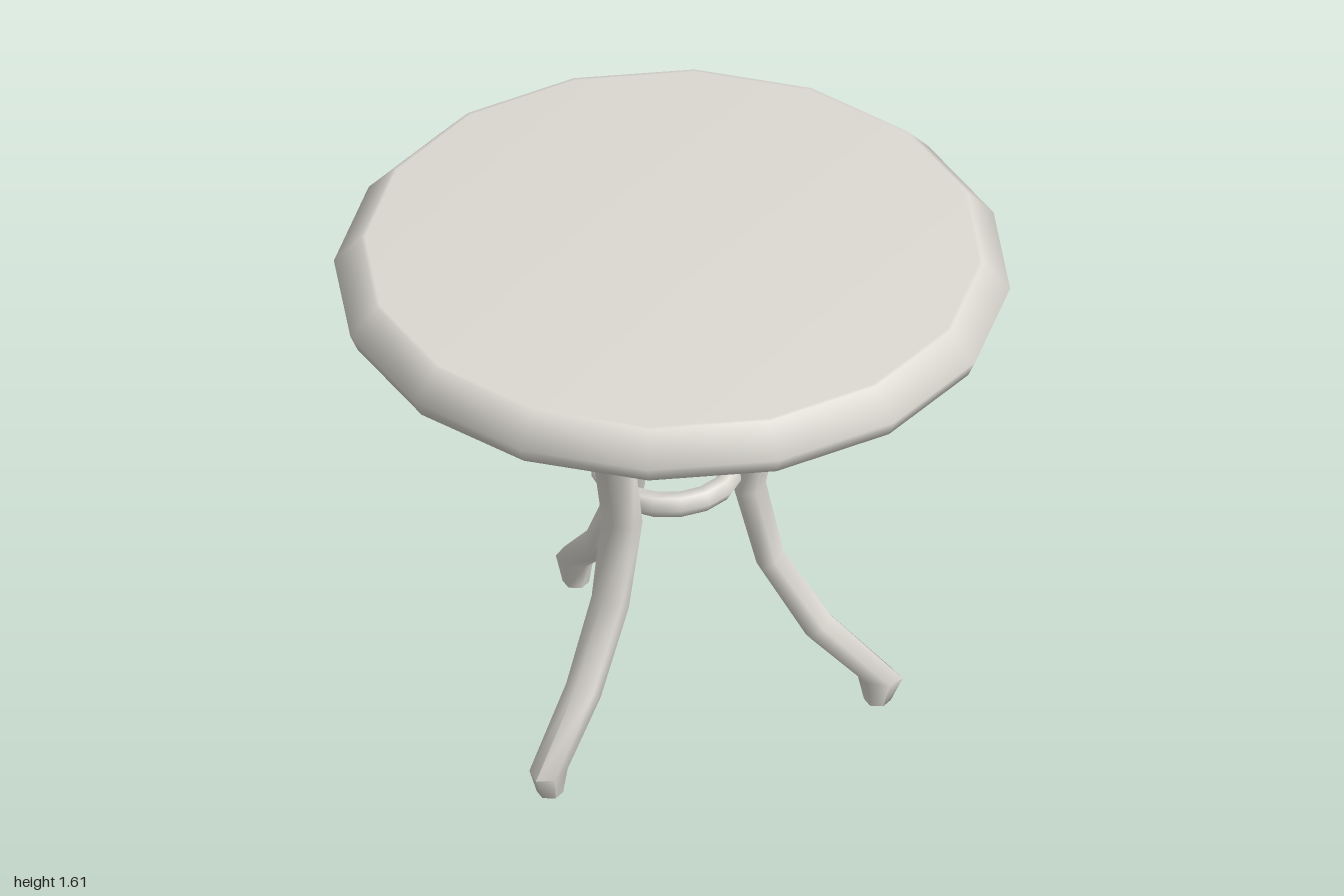
import * as THREE from 'three';
import { toCreasedNormals } from 'three/addons/utils/BufferGeometryUtils.js';

const SIDES = 6;

// Leg cross-sections from foot to top: inner radius, inner y, outer radius, outer y, half width
const LEG_RINGS = [
  [0.585, 0, 0.665, 0, 0.034],
  [0.565, 0.09, 0.70, 0.08, 0.046],
  [0.41, 0.23, 0.485, 0.30, 0.049],
  [0.265, 0.48, 0.345, 0.53, 0.053],
  [0.193, 0.765, 0.293, 0.775, 0.057],
  [0.243, 1.04, 0.33, 1.0, 0.06],
  [0.40, 1.29, 0.48, 1.20, 0.062],
  [0.60, 1.475, 0.69, 1.38, 0.063],
  [0.85, 1.57, 0.885, 1.475, 0.063],
];

// Bent six-sided leg lying in the plane x = 0 and leaning toward +z
function legGeometry() {
  const pos = [], index = [];
  for (const [r0, y0, r1, y1, w] of LEG_RINGS) {
    for (let k = 0; k < SIDES; k++) {
      const a = (k / SIDES) * Math.PI * 2;
      const t = 0.5 + 0.5 * Math.cos(a);
      const x = (Math.sin(a) / Math.sin(Math.PI / 3)) * w;
      pos.push(x, y0 + (y1 - y0) * t, r0 + (r1 - r0) * t);
    }
  }
  for (let i = 0; i < LEG_RINGS.length - 1; i++) {
    for (let k = 0; k < SIDES; k++) {
      const n = (k + 1) % SIDES;
      const a = i * SIDES + k, b = i * SIDES + n;
      index.push(a, b, b + SIDES, a, b + SIDES, a + SIDES);
    }
  }
  const last = (LEG_RINGS.length - 1) * SIDES;
  for (let k = 1; k < SIDES - 1; k++) {
    index.push(0, k + 1, k, last, last + k, last + k + 1);
  }
  const g = new THREE.BufferGeometry();
  g.setAttribute('position', new THREE.Float32BufferAttribute(pos, 3));
  g.setIndex(index);
  return toCreasedNormals(g, 1.3);
}

export function createModel() {
  const model = new THREE.Group();
  model.name = 'roundTable';
  const grey = new THREE.MeshStandardMaterial({ color: 0xdcd9d2 });
  grey.name = 'warmGrey';

  const add = (name, geometry, parent) => {
    const mesh = new THREE.Mesh(geometry, grey);
    mesh.name = name;
    parent.add(mesh);
    return mesh;
  };

  // Sixteen-sided top with a bevelled rim and a hollow underside
  const profile = [
    [0, 1.57], [0.89, 1.57], [0.90, 1.467], [0.985, 1.467],
    [1.008, 1.52], [0.927, 1.611], [0.915, 1.612], [0, 1.612],
  ].map(([r, y]) => new THREE.Vector2(r, y));
  const top = new THREE.LatheGeometry(profile, 16, THREE.MathUtils.degToRad(7.5));
  add('tableTop', toCreasedNormals(top, 1.2), model);

  // Base: three legs tied by a ring, very slightly off centre
  const base = new THREE.Group();
  base.name = 'base';
  base.position.set(-0.012, 0, 0.005);
  model.add(base);

  const leg = legGeometry();
  ['frontLeg', 'backLeftLeg', 'backRightLeg'].forEach((name, i) => {
    add(name, leg, base).rotation.y = (i * Math.PI * 2) / 3;
  });

  const ring = new THREE.TorusGeometry(0.193, 0.038, 6, 16);
  ring.rotateX(Math.PI / 2);
  add('braceRing', ring, base).position.y = 0.815;

  return model;
}
